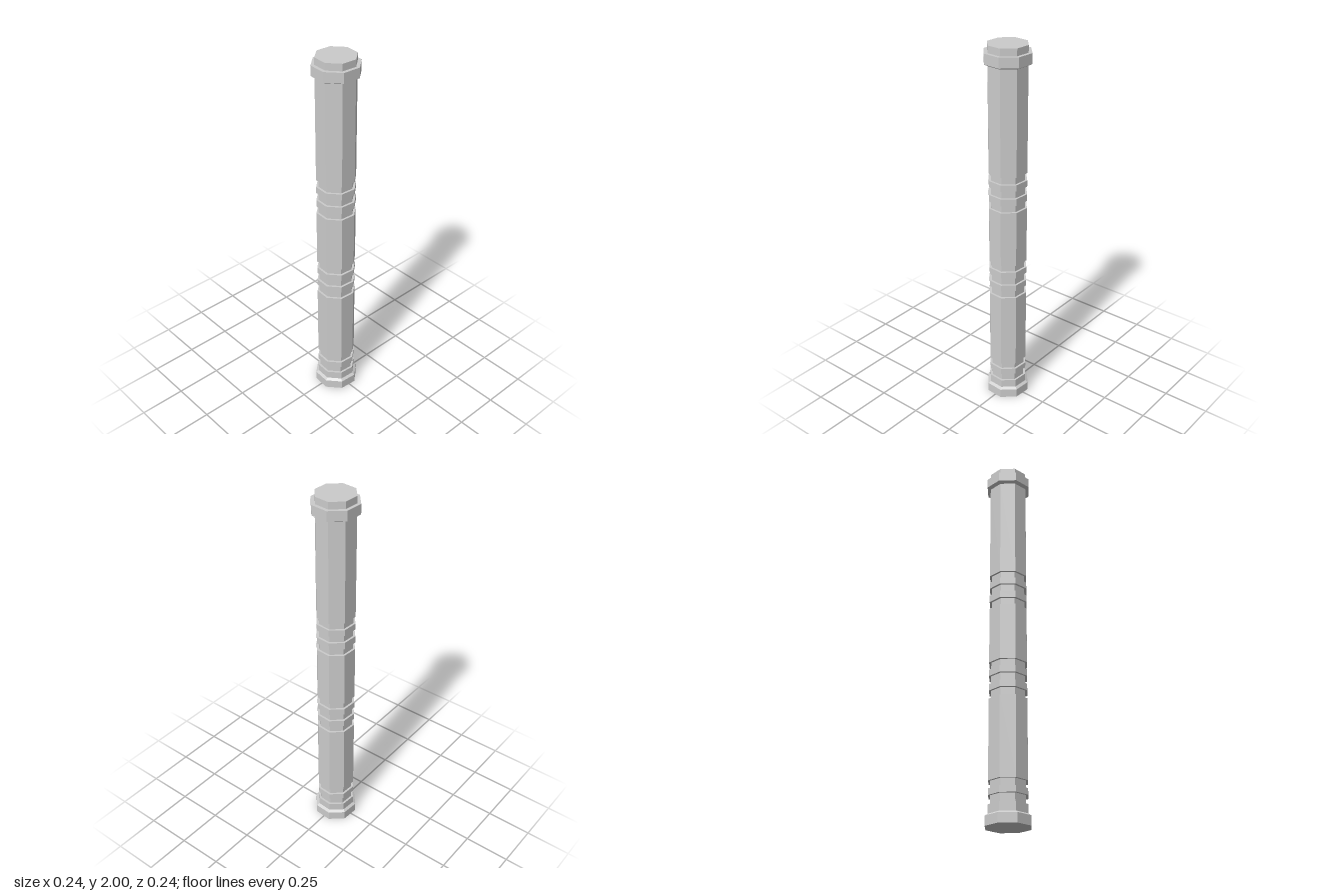
import * as THREE from 'three';

const SIDES = 8;
const TURN = THREE.MathUtils.degToRad(18.5); // slight twist of the octagon about the axis
const SHAFT = 0.105, NECK = 0.093, BASE = 0.12, COLLAR = 0.124;

const material = new THREE.MeshStandardMaterial({ color: 0xcccccc, flatShading: true });

// Faceted eight-sided section from [radius, height] pairs, listed bottom to top
function section(name, profile) {
  const points = profile.map(([r, y]) => new THREE.Vector2(r, y));
  const geometry = new THREE.LatheGeometry(points, SIDES, TURN).toNonIndexed();
  geometry.computeVertexNormals();
  const mesh = new THREE.Mesh(geometry, material);
  mesh.name = name;
  return mesh;
}

// Narrow neck with raised rings; heights alternate neck, ring, neck ... up to the next shaft
function groovedBand(name, heights) {
  const profile = [[SHAFT, heights[0]]];
  for (let i = 0; i < heights.length - 1; i++) {
    const r = i % 2 ? SHAFT : NECK;
    profile.push([r, heights[i]], [r, heights[i + 1]]);
  }
  profile.push([SHAFT, heights[heights.length - 1]]);
  return section(name, profile);
}

export function createModel() {
  const model = new THREE.Group();
  model.name = 'pillar';

  // Foot with a closed underside and bevelled shoulder
  model.add(section('foot', [[0, 0], [BASE, 0], [BASE, 0.05], [SHAFT, 0.06], [SHAFT, 0.105]]));

  // Grooved bands, with plain shafts spanning the gaps between them
  const bands = [
    ['lowerBand', [0.105, 0.15, 0.183, 0.222]],
    ['middleBand', [0.645, 0.688, 0.723, 0.767, 0.802, 0.842]],
    ['upperBand', [1.15, 1.19, 1.228, 1.27, 1.305, 1.345]],
  ];
  const shafts = ['lowerShaft', 'middleShaft', 'upperShaft'];
  bands.forEach(([name, heights], i) => {
    const top = i + 1 < bands.length ? bands[i + 1][1][0] : 1.9;
    model.add(groovedBand(name, heights));
    model.add(section(shafts[i], [[SHAFT, heights[heights.length - 1]], [SHAFT, top]]));
  });

  // Collar and closed top
  model.add(section('collar', [[SHAFT, 1.9], [COLLAR, 1.91], [COLLAR, 1.963], [SHAFT, 1.963]]));
  model.add(section('cap', [[SHAFT, 1.963], [SHAFT, 2], [0, 2]]));

  return model;
}
